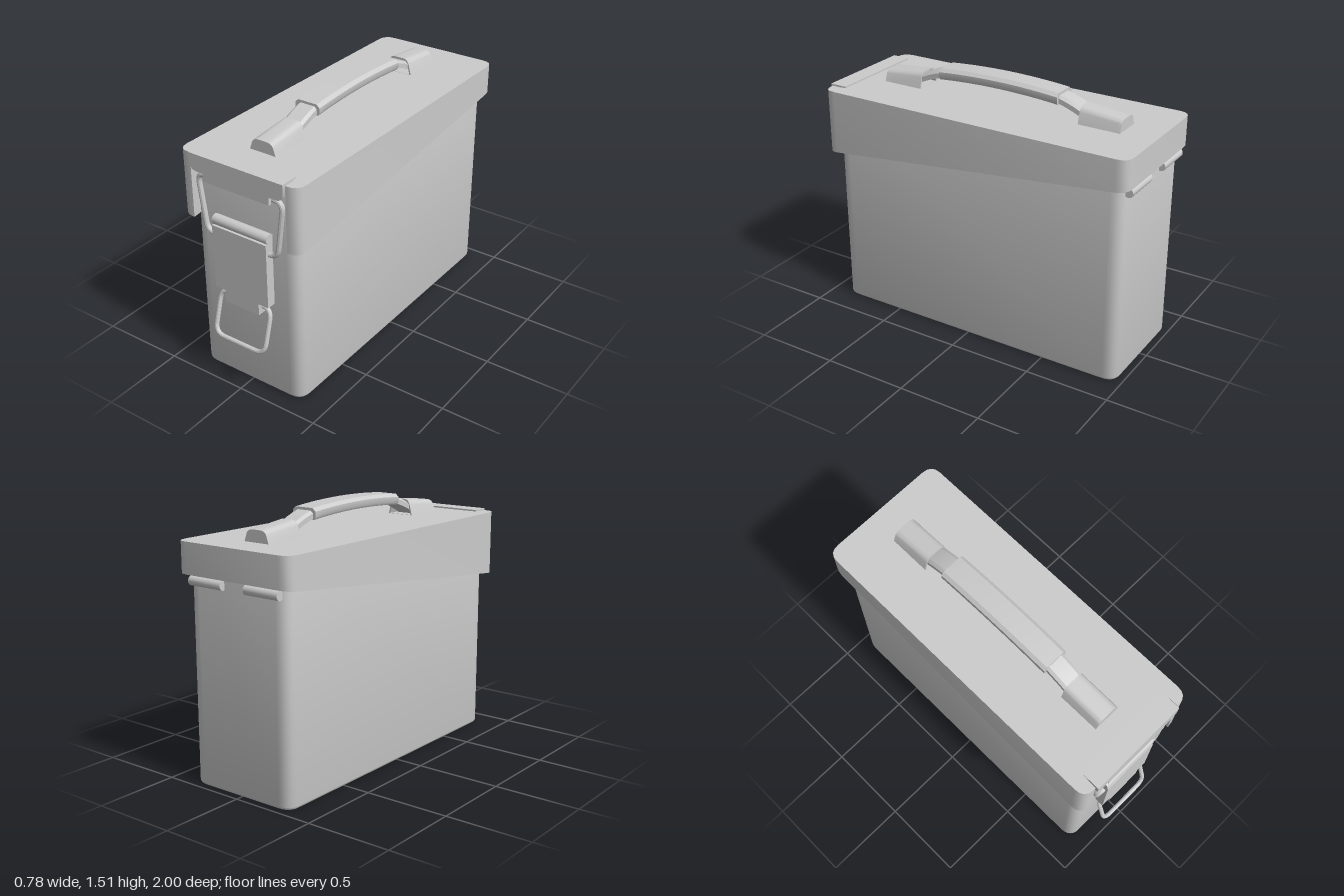
import * as THREE from 'three';
import { toCreasedNormals } from 'three/addons/utils/BufferGeometryUtils.js';

const material = new THREE.MeshStandardMaterial({ color: 0xcccccc, side: THREE.DoubleSide });

function add(parent, name, geometry) {
  const mesh = new THREE.Mesh(toCreasedNormals(geometry, 0.6), material);
  mesh.name = name;
  parent.add(mesh);
  return mesh;
}

function extrude(shape, depth, options = {}) {
  return new THREE.ExtrudeGeometry(shape, { depth, bevelEnabled: false, curveSegments: 6, ...options });
}

// Move every vertex by a rule
function warp(geometry, rule) {
  const p = geometry.attributes.position, v = new THREE.Vector3();
  for (let i = 0; i < p.count; i++) {
    rule(v.fromBufferAttribute(p, i));
    p.setXYZ(i, v.x, v.y, v.z);
  }
  geometry.computeVertexNormals();
  return geometry;
}

function polygon(points) {
  return new THREE.Shape(points.map(([x, y]) => new THREE.Vector2(x, y)));
}

// Plan outline (shape y = -z), with an optional notch in the front edge
function planOutline(w, front, back, r, notchX = 0, notchZ = 0) {
  const s = new THREE.Shape();
  s.moveTo(-w + r, -front);
  if (notchX) {
    s.lineTo(-notchX, -front);
    s.lineTo(-notchX, -notchZ);
    s.lineTo(notchX, -notchZ);
    s.lineTo(notchX, -front);
  }
  s.lineTo(w - r, -front);
  s.quadraticCurveTo(w, -front, w, -front + r);
  s.lineTo(w, -back - r);
  s.quadraticCurveTo(w, -back, w - r, -back);
  s.lineTo(-w + r, -back);
  s.quadraticCurveTo(-w, -back, -w, -back - r);
  s.lineTo(-w, -front + r);
  s.quadraticCurveTo(-w, -front, -w + r, -front);
  return s;
}

// Round wire through points, with rounded corners
function wire(points, radius, corner) {
  const pts = points.map(p => new THREE.Vector3(...p));
  const path = new THREE.CurvePath();
  let last = pts[0];
  for (let i = 1; i < pts.length - 1; i++) {
    const p = pts[i];
    const toward = q => p.clone().add(q.clone().sub(p).setLength(Math.min(corner, p.distanceTo(q) * 0.49)));
    const a = toward(pts[i - 1]), b = toward(pts[i + 1]);
    path.add(new THREE.LineCurve3(last, a));
    path.add(new THREE.QuadraticBezierCurve3(a, p, b));
    last = b;
  }
  path.add(new THREE.LineCurve3(last, pts[pts.length - 1]));
  return new THREE.TubeGeometry(path, 120, radius, 10);
}

// Arched section used by the handle mounts
function arch(w, h) {
  const s = new THREE.Shape();
  s.moveTo(-w, 0);
  s.lineTo(w, 0);
  s.lineTo(w * 0.8, h * 0.68);
  s.quadraticCurveTo(w * 0.68, h, w * 0.3, h);
  s.lineTo(-w * 0.3, h);
  s.quadraticCurveTo(-w * 0.68, h, -w * 0.8, h * 0.68);
  s.lineTo(-w, 0);
  return s;
}

export function createModel() {
  const model = new THREE.Group();
  model.name = 'metalBox';

  // Box body with softly bevelled bottom edge
  const bevel = 0.018;
  const body = extrude(planOutline(0.345 - bevel, 0.895 - bevel, -0.965 + bevel, 0.06), 1.345 - 2 * bevel,
    { bevelEnabled: true, bevelSize: bevel, bevelThickness: bevel, bevelSegments: 3 });
  add(model, 'body', body.rotateX(-Math.PI / 2).translate(0, bevel, 0));

  // Lid: sloping lower rim, open at the front behind the latch
  const lid = extrude(planOutline(0.39, 0.94, -1, 0.07, 0.31, 0.88), 1, { curveSegments: 4 });
  lid.rotateX(-Math.PI / 2);
  add(model, 'lid', warp(lid, v => {
    v.y = v.y > 0.5 ? 1.355 : 0.97 + (0.94 - v.z) * 0.108;
  }));

  // Catch bracket on the lid's front edge
  const bracket = new THREE.Group();
  bracket.name = 'catchBracket';
  model.add(bracket);
  add(bracket, 'bracketTop', new THREE.BoxGeometry(0.61, 0.02, 0.105).translate(0, 1.354, 0.9025));
  const flap = new THREE.Shape();
  flap.moveTo(-0.305, 1.36);
  flap.lineTo(-0.305, 1.3);
  flap.quadraticCurveTo(-0.3, 1.268, -0.255, 1.265);
  flap.lineTo(-0.215, 1.265);
  flap.lineTo(-0.215, 1.22);
  flap.lineTo(0.215, 1.22);
  flap.lineTo(0.215, 1.265);
  flap.lineTo(0.255, 1.265);
  flap.quadraticCurveTo(0.3, 1.268, 0.305, 1.3);
  flap.lineTo(0.305, 1.36);
  add(bracket, 'bracketFlap', extrude(flap, 0.02).translate(0, 0, 0.935));

  // Latch lever with rolled top and a narrower tab below
  const latch = new THREE.Group();
  latch.name = 'latch';
  model.add(latch);
  const plate = polygon([[-0.18, 0.97], [-0.18, 0.585], [-0.115, 0.585], [-0.115, 0.515],
    [0.115, 0.515], [0.115, 0.585], [0.18, 0.585], [0.18, 0.97]]);
  add(latch, 'latchPlate', extrude(plate, 0.06).translate(0, 0, 0.89));
  add(latch, 'latchRoll', new THREE.CylinderGeometry(0.03, 0.03, 0.365, 16)
    .rotateZ(Math.PI / 2).translate(0, 0.995, 0.918));

  // Wire bail joining latch and bracket
  const bail = [[0.1, 0.905], [0.235, 0.905], [0.28, 1.242], [0.1, 1.242]];
  const bailPath = [...bail, ...bail.map(([x, y]) => [-x, y]).reverse()];
  add(latch, 'wireBail', wire(bailPath.map(([x, y]) => [x, y, 0.922]), 0.015, 0.055));

  // Wire pull ring hanging outwards from the tab
  const pull = [[0.08, 0.553], [0.172, 0.553], [0.172, 0.302]];
  const pullPath = [...pull, ...pull.map(([x, y]) => [-x, y]).reverse()];
  add(latch, 'pullRing', wire(pullPath.map(([x, y]) => [x, y, 0.915 + (0.553 - y) * 0.285]), 0.013, 0.065));

  // Rear hinge barrels
  for (const side of [-1, 1]) {
    add(model, 'hinge', new THREE.CylinderGeometry(0.027, 0.027, 0.23, 16)
      .rotateZ(Math.PI / 2).translate(side * 0.195, 1.147, -0.973));
  }

  // Carrying handle
  const handle = new THREE.Group();
  handle.name = 'handle';
  handle.position.set(0, 1.352, -0.037);
  model.add(handle);

  // Gently arched grip
  const gripSection = polygon([[-0.08, 0.015], [-0.07, 0], [0.07, 0], [0.08, 0.015],
    [0.08, 0.045], [0.06, 0.063], [-0.06, 0.063], [-0.08, 0.045]]);
  const grip = extrude(gripSection, 0.766, { steps: 14 }).translate(0, 0, -0.383);
  add(handle, 'grip', warp(grip, v => { v.y += 0.1 - 0.12 * v.z * v.z; }));

  for (const turn of [0, Math.PI]) {
    const end = new THREE.Group();
    end.name = 'handleEnd';
    end.rotation.y = turn;
    handle.add(end);

    // Strap curving down from the grip into its mount
    const strapSection = polygon([[-0.062, 0], [0.062, 0], [0.062, 0.03], [0.045, 0.044],
      [-0.045, 0.044], [-0.062, 0.03]]);
    const strap = extrude(strapSection, 0.26, { steps: 6 }).translate(0, 0, 0.34);
    add(end, 'strap', warp(strap, v => {
      const t = v.z - 0.34;
      v.y += 0.097 - 0.2 * t - 0.75 * t * t;
    }));

    // Hollow arched mount, closed at its outer end
    const slope = v => { v.y *= 1 - 0.28 * (v.z - 0.515) / 0.25; };
    const shell = arch(0.085, 0.098);
    shell.holes.push(new THREE.Path(arch(0.075, 0.082).getPoints(6).map(p => p.setY(p.y + 0.004))));
    add(end, 'mountShell', warp(extrude(shell, 0.235).translate(0, 0, 0.515), slope));
    add(end, 'mountCap', warp(extrude(arch(0.085, 0.098), 0.015).translate(0, 0, 0.75), slope));
  }

  return model;
}
